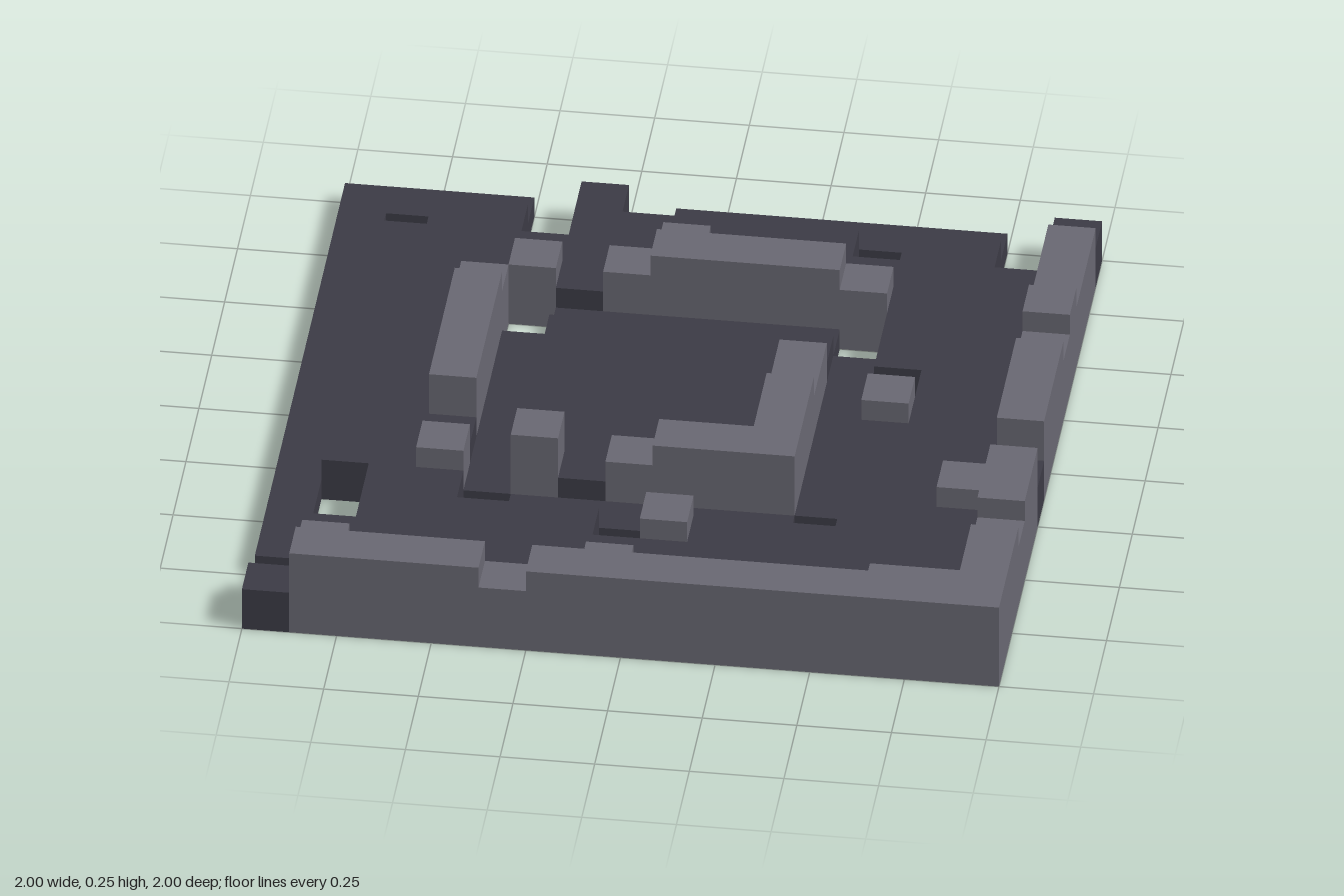
import * as THREE from 'three';

// Plan of the slab, back row first: each letter is one square cell, '.' is a hole
const PLAN = [
  'rrrr.f.rrrrrrr.f',
  'r.ff.ffffff.ff.l',
  'rfffffflfffffffl',
  'rffflflhhhhlfffl',
  'rffl.rrrrrr.fffh',
  'rffhrffffffrfffl',
  'rffhrffffflr.ffh',
  'rffhrffffflrlffh',
  'rffhrfffffhrfffh',
  'rfffrfffffhrffff',
  'rfflrhflhhhrfflh',
  'r.ff.rrrrrr.fffh',
  'r.fffff.lffffffl',
  'rffffffffffffffh',
  '.lffffflfffffllh',
  'fhhhhlhhhhhhhhhh',
];
const CELL = 0.125;
const HEIGHT = { r: 0.0625, f: 0.125, l: 0.1875, h: 0.25 };

const heightAt = (c, r) => HEIGHT[PLAN[r]?.[c]] ?? 0;

// Builds the outer faces of every cell of one kind
function cellGeometry(kind) {
  const positions = [];
  const quad = (a, b, c, d) => positions.push(...a, ...b, ...c, ...a, ...c, ...d);
  const top = HEIGHT[kind];

  PLAN.forEach((row, r) => [...row].forEach((letter, c) => {
    if (letter !== kind) return;
    const x0 = c * CELL - 1, x1 = x0 + CELL;
    const z0 = r * CELL - 1, z1 = z0 + CELL;
    quad([x0, top, z1], [x1, top, z1], [x1, top, z0], [x0, top, z0]);
    quad([x0, 0, z0], [x1, 0, z0], [x1, 0, z1], [x0, 0, z1]);

    // Sides rise only from the height of the neighbouring cell
    const sides = [
      [0, 1, x0, z1, x1, z1],
      [1, 0, x1, z1, x1, z0],
      [0, -1, x1, z0, x0, z0],
      [-1, 0, x0, z0, x0, z1],
    ];
    for (const [dc, dr, ax, az, bx, bz] of sides) {
      const low = heightAt(c + dc, r + dr);
      if (low < top) quad([ax, low, az], [bx, low, bz], [bx, top, bz], [ax, top, az]);
    }
  }));

  const geometry = new THREE.BufferGeometry();
  geometry.setAttribute('position', new THREE.Float32BufferAttribute(positions, 3));
  geometry.computeVertexNormals();
  return geometry;
}

export function createModel() {
  const darkStone = new THREE.MeshStandardMaterial({ color: 0x3c3b45 });
  darkStone.name = 'darkStone';
  const greyStone = new THREE.MeshStandardMaterial({ color: 0x696872 });
  greyStone.name = 'greyStone';

  const model = new THREE.Group();
  model.name = 'ruinFoundation';
  const add = (name, kind, material) => {
    const mesh = new THREE.Mesh(cellGeometry(kind), material);
    mesh.name = name;
    model.add(mesh);
  };

  add('rimAndTrench', 'r', darkStone);
  add('floor', 'f', darkStone);
  add('lowRubble', 'l', greyStone);
  add('walls', 'h', greyStone);
  return model;
}
